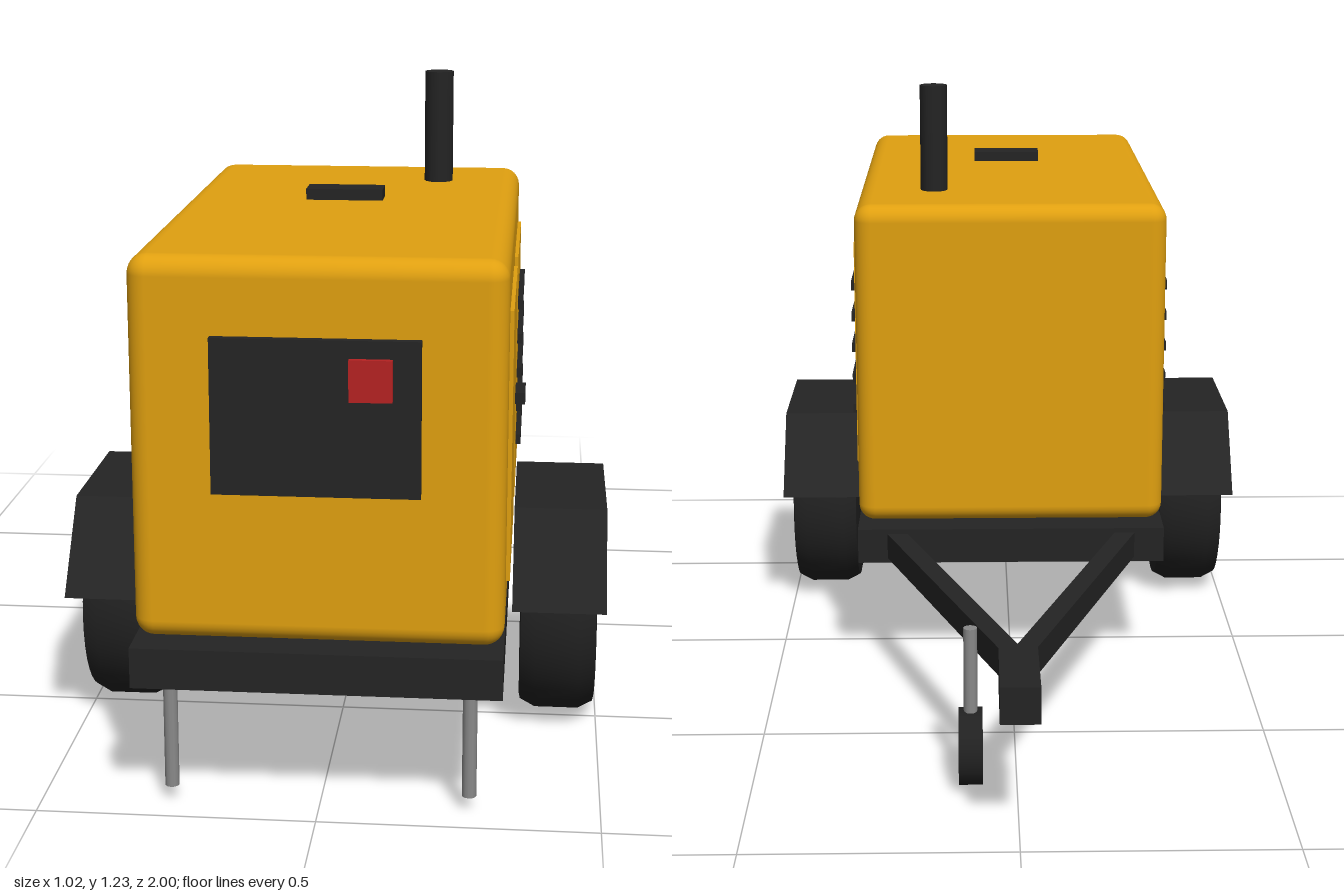
import * as THREE from 'three';
import { RoundedBoxGeometry } from 'three/addons/geometries/RoundedBoxGeometry.js';
import { toCreasedNormals } from 'three/addons/utils/BufferGeometryUtils.js';

const mat = (name, color) => {
  const m = new THREE.MeshStandardMaterial({ color });
  m.name = name;
  return m;
};

export function createModel() {
  const yellow = mat('yellow paint', 0xe0a010);
  const dark = mat('dark steel', 0x242424);
  const rubber = mat('rubber', 0x212121);
  const grey = mat('bare metal', 0x8a8a8a);
  const red = mat('red', 0xb52222);

  const model = new THREE.Group();
  model.name = 'towableGenerator';

  const add = (name, geometry, material, x = 0, y = 0, z = 0) => {
    const mesh = new THREE.Mesh(geometry, material);
    mesh.name = name;
    mesh.position.set(x, y, z);
    model.add(mesh);
    return mesh;
  };
  // Box given by its limits on each axis
  const box = (name, material, [x0, x1], [y0, y1], [z0, z1]) =>
    add(name, new THREE.BoxGeometry(x1 - x0, y1 - y0, z1 - z0), material,
      (x0 + x1) / 2, (y0 + y1) / 2, (z0 + z1) / 2);
  // Upright cylinder between two heights
  const post = (name, material, r, x, y0, y1, z, sides = 12) =>
    add(name, new THREE.CylinderGeometry(r, r, y1 - y0, sides), material, x, (y0 + y1) / 2, z);
  // Box that is symmetric about x = 0, on either side
  const sideBox = (name, material, s, x0, x1, y, z) =>
    box(name, material, s > 0 ? [x0, x1] : [-x1, -x0], y, z);

  // Housing and chassis
  add('housing', new RoundedBoxGeometry(0.65, 0.685, 1.085, 4, 0.035), yellow, 0, 0.6575, 0.4175);
  box('chassis', dark, [-0.325, 0.325], [0.24, 0.314], [-0.165, 1]);

  // Roof parts
  post('exhaustPipe', dark, 0.029, 0.161, 0.98, 1.225, 0.088);
  box('liftingHandle', dark, [-0.073, 0.073], [1.015, 1.036], [0.39, 0.45]);

  // Control panel
  box('controlPanel', dark, [-0.18, 0.18], [0.59, 0.865], [0.95, 0.975]);
  box('stopButton', red, [0.058, 0.132], [0.761, 0.834], [0.97, 0.986]);

  // Tyre profile (radius, width), chamfered at both shoulders
  const tyre = toCreasedNormals(new THREE.LatheGeometry([
    [0, -0.073], [0.195, -0.073], [0.205, -0.071], [0.22, -0.042],
    [0.22, 0.042], [0.205, 0.071], [0.195, 0.073], [0, 0.073],
  ].map(([r, w]) => new THREE.Vector2(r, w)), 40), 0.5);
  tyre.rotateZ(Math.PI / 2);

  // Folded mudguard profile, drawn in (z, y)
  const guardShape = new THREE.Shape([
    [0.695, 0.287], [0.57, 0.45], [0.265, 0.45], [0.14, 0.287],
    [0.162, 0.287], [0.274, 0.434], [0.561, 0.434], [0.673, 0.287],
  ].map(([z, y]) => new THREE.Vector2(-z, y)));
  const guard = new THREE.ExtrudeGeometry(guardShape, { depth: 0.175, bevelEnabled: false });
  guard.translate(0, 0, -0.0875).rotateY(Math.PI / 2);

  for (const s of [1, -1]) {
    add('wheel', tyre, rubber, s * 0.422, 0.22, 0.418);
    add('mudguard', guard, dark, s * 0.4225, 0, 0);

    // Doors, handle and louvres
    sideBox('frontDoor', yellow, s, 0.315, 0.332, [0.415, 0.9], [0.485, 0.88]);
    sideBox('rearDoor', yellow, s, 0.315, 0.332, [0.415, 0.9], [0, 0.395]);
    sideBox('doorHandle', dark, s, 0.325, 0.351, [0.647, 0.669], [0.468, 0.548]);
    for (let i = 0; i < 5; i++) {
      const y = 0.523 + i * 0.0685;
      sideBox('louvre', dark, s, 0.32, 0.342, [y - 0.01, y + 0.01], [0.045, 0.355]);
    }

    // Support legs
    post('supportLeg', grey, 0.013, s * 0.267, 0.027, 0.25, 0.928);

    // Drawbar arm running from the chassis corner to the coupler
    const from = new THREE.Vector3(s * 0.25, 0.277, -0.14);
    const to = new THREE.Vector3(0, 0.277, -0.84);
    const arm = add('drawbarArm', new THREE.BoxGeometry(0.04, 0.054, from.distanceTo(to)), dark);
    arm.position.lerpVectors(from, to, 0.5);
    arm.lookAt(to);
  }

  // Coupler and jockey wheel
  box('coupler', dark, [-0.036, 0.036], [0.243, 0.313], [-1, -0.815]);
  post('jockeyPost', grey, 0.013, 0.087, 0.08, 0.312, -0.72);
  const jockey = new THREE.CylinderGeometry(0.073, 0.073, 0.045, 20).rotateZ(Math.PI / 2);
  add('jockeyWheel', jockey, rubber, 0.087, 0.074, -0.72);

  return model;
}
